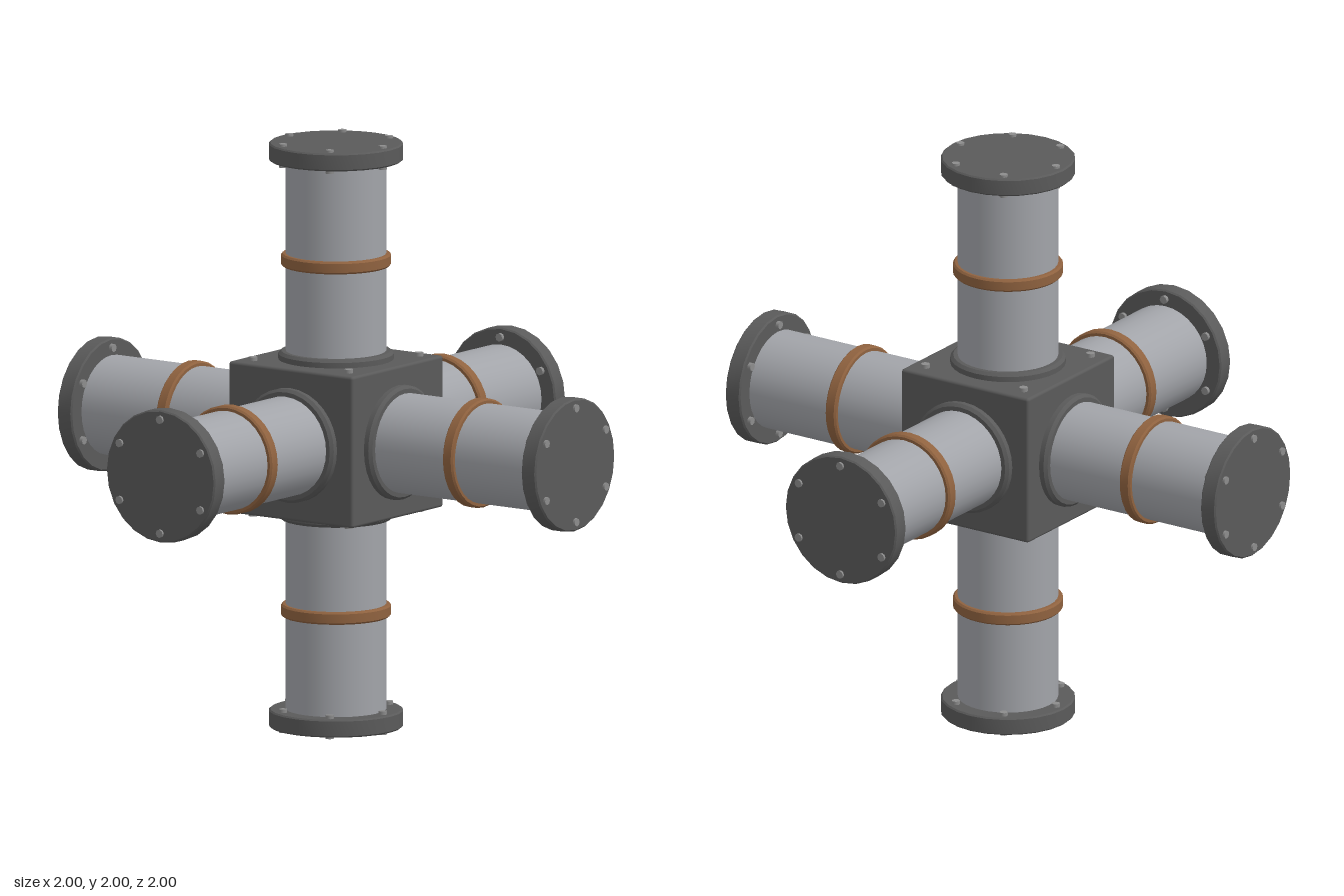
import * as THREE from 'three';
import { toCreasedNormals } from 'three/addons/utils/BufferGeometryUtils.js';
import { RoundedBoxGeometry } from 'three/addons/geometries/RoundedBoxGeometry.js';

const material = (name, color) => {
  const m = new THREE.MeshStandardMaterial({ color });
  m.name = name;
  return m;
};

// Closed disc with small bevels on both rims, from y0 to y1
function disc(r, y0, y1, bevel, sides) {
  const profile = [
    [0, y0], [r - bevel, y0], [r, y0 + bevel],
    [r, y1 - bevel], [r - bevel, y1], [0, y1],
  ].map(([x, y]) => new THREE.Vector2(x, y));
  return toCreasedNormals(new THREE.LatheGeometry(profile, sides), 0.5);
}

export function createModel() {
  const darkMetal = material('dark metal', 0x5a5a5a);
  const pipeMetal = material('pipe metal', 0xa2a4a9);
  const copper = material('copper', 0x8f623f);
  const boltMetal = material('bolt metal', 0x8c8c8c);

  const add = (parent, name, geometry, mat, x = 0, y = 0, z = 0) => {
    const mesh = new THREE.Mesh(geometry, mat);
    mesh.name = name;
    mesh.position.set(x, y, z);
    parent.add(mesh);
    return mesh;
  };

  // Shared arm geometries, built along +y from the hub centre
  const pipeGeo = new THREE.CylinderGeometry(0.168, 0.168, 0.75, 32, 1, true);
  const collarGeo = disc(0.193, 0.24, 0.285, 0.01, 32);
  const bandGeo = disc(0.184, 0.573, 0.615, 0.006, 32);
  const flangeGeo = disc(0.225, 0.93, 0.99, 0.005, 24);
  const flangeBoltGeo = new THREE.CylinderGeometry(0.014, 0.014, 0.08, 8);
  const hubBoltGeo = new THREE.CylinderGeometry(0.015, 0.015, 0.03, 8);

  function createArm(name) {
    const arm = new THREE.Group();
    arm.name = name;
    add(arm, 'pipe', pipeGeo, pipeMetal, 0, 0.575, 0);
    add(arm, 'collar', collarGeo, darkMetal);
    add(arm, 'band', bandGeo, copper);
    add(arm, 'flange', flangeGeo, darkMetal);
    // Through bolts show on both sides of the flange
    for (let i = 0; i < 6; i++) {
      const a = (i * Math.PI) / 3;
      add(arm, 'flangeBolt', flangeBoltGeo, boltMetal,
        0.193 * Math.sin(a), 0.958, 0.193 * Math.cos(a));
    }
    return arm;
  }

  const model = new THREE.Group();
  model.name = 'sixWayPipeJunction';
  const junction = new THREE.Group();
  junction.name = 'junction';
  junction.position.y = 1;
  model.add(junction);

  // Central hub
  add(junction, 'hub', new RoundedBoxGeometry(0.514, 0.514, 0.514, 2, 0.01), darkMetal);

  // Corner bolts on the top and bottom of the hub
  for (const x of [-1, 1]) for (const y of [-1, 1]) for (const z of [-1, 1]) {
    add(junction, 'hubBolt', hubBoltGeo, boltMetal, x * 0.198, y * 0.255, z * 0.198);
  }

  // Six arms: name and rotation away from +y
  const q = Math.PI / 2;
  const arms = [
    ['topArm', 0, 0, 0],
    ['bottomArm', Math.PI, 0, 0],
    ['frontArm', q, 0, 0],
    ['backArm', -q, 0, 0],
    ['leftArm', 0, q, -q],
    ['rightArm', 0, q, q],
  ];
  for (const [name, x, y, z] of arms) {
    const arm = createArm(name);
    arm.rotation.set(x, y, z, 'ZYX');
    junction.add(arm);
  }

  return model;
}
